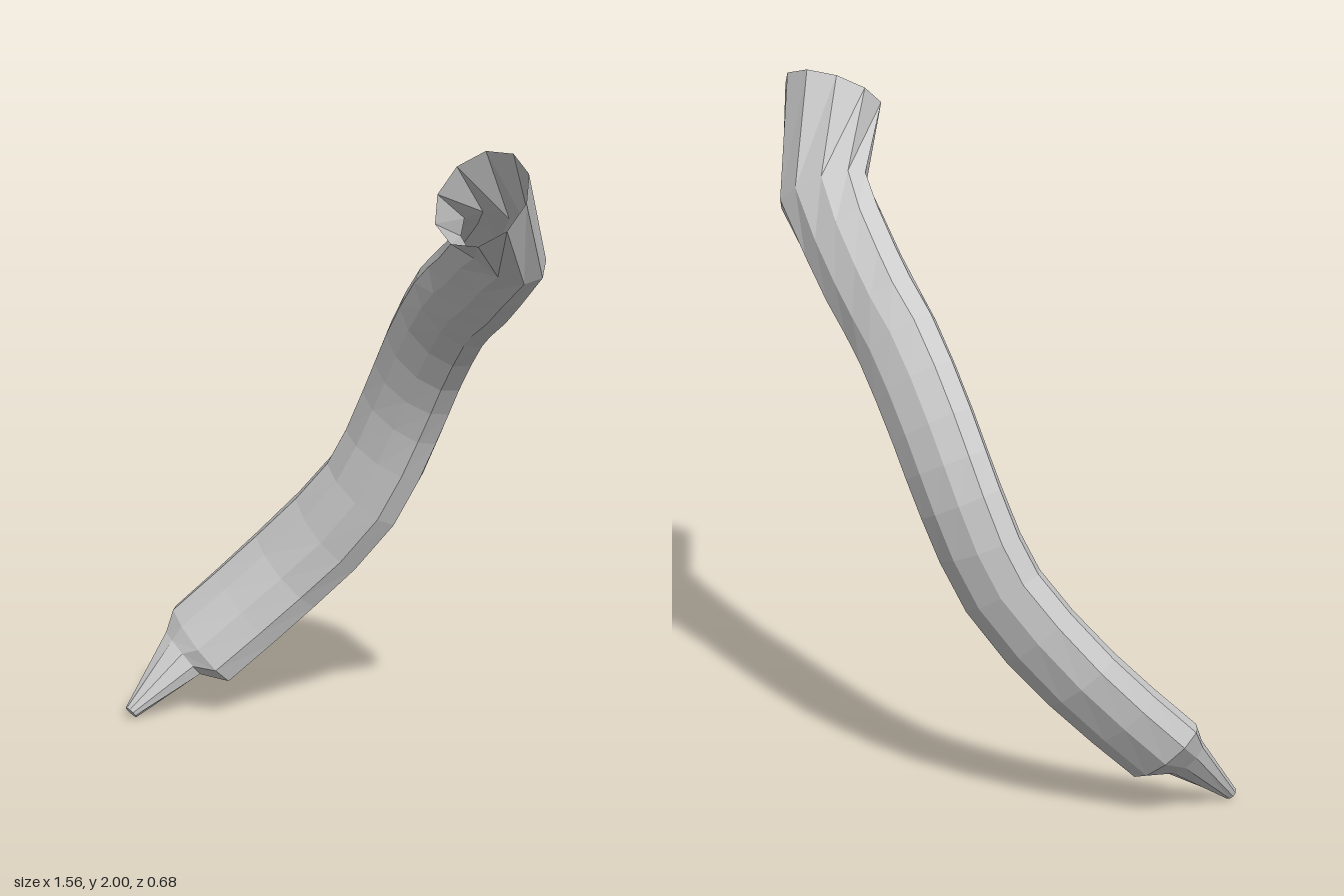
import * as THREE from 'three';

const SIDES = 10;
const V = (x, y, z) => new THREE.Vector3(x, y, z);

// Oval ring around centre c, facing along t: half width a, half depth b.
// lean turns the wide axis slightly about the tube.
function ring(c, t, a, b, lean) {
  const dir = t.clone().normalize();
  const wide = dir.clone().cross(V(lean, 0, 1)).normalize();
  const deep = dir.clone().cross(wide);
  return Array.from({ length: SIDES }, (_, i) => {
    const ang = (i / SIDES) * Math.PI * 2;
    return c.clone()
      .addScaledVector(wide, a * Math.cos(ang))
      .addScaledVector(deep, b * Math.sin(ang));
  });
}

// Skin a list of rings, optionally closing the first one
function skin(name, rings, material, closeStart = false) {
  const index = [];
  for (let r = 0; r < rings.length - 1; r++) {
    for (let i = 0; i < SIDES; i++) {
      const j = (i + 1) % SIDES;
      const p = r * SIDES + i, q = r * SIDES + j;
      index.push(p, q, q + SIDES, p, q + SIDES, p + SIDES);
    }
  }
  if (closeStart) for (let i = 1; i < SIDES - 1; i++) index.push(0, i + 1, i);
  const geometry = new THREE.BufferGeometry().setFromPoints(rings.flat());
  geometry.setIndex(index);
  geometry.computeVertexNormals();
  const mesh = new THREE.Mesh(geometry, material);
  mesh.name = name;
  return mesh;
}

export function createModel() {
  const material = new THREE.MeshStandardMaterial({
    color: 0xcccccc, flatShading: true, side: THREE.DoubleSide,
  });

  // Centre line of the curved body, from the lower end to the neck
  const path = new THREE.CatmullRomCurve3([
    V(-0.655, 0.195, 0.11), V(-0.495, 0.425, -0.072), V(-0.305, 0.685, -0.2),
    V(-0.19, 0.94, -0.25), V(-0.075, 1.145, -0.245), V(0.1, 1.35, -0.2),
    V(0.285, 1.485, -0.14), V(0.52, 1.67, -0.05),
  ]);
  const steps = 14;
  const bodyRings = [];
  for (let i = 0; i <= steps; i++) {
    const u = i / steps;
    // The neck ring is mitred between the body and the flared mouth
    const t = i === steps ? V(0.6, 0.68, 0.45) : path.getTangent(u);
    bodyRings.push(ring(path.getPoint(u), t, 0.146, 0.085, 0.42 * u));
  }

  // Flared open mouth
  const mouth = ring(V(0.642, 1.89, 0.13), V(0.2, 0.75, 0.64), 0.147, 0.167, 0.4);

  // Shoulder narrowing to a blunt point
  const shoulder = ring(V(-0.682, 0.17, 0.158), V(0.12, 0.2, -0.21), 0.088, 0.054, 0);
  const point = ring(V(-0.71, 0.018, 0.33), V(0.03, 0.145, -0.17), 0.021, 0.02, 0);

  const model = new THREE.Group();
  model.name = 'curvedHorn';
  model.add(
    skin('body', bodyRings, material),
    skin('flaredMouth', [bodyRings[steps], mouth], material),
    skin('pointedTip', [point, shoulder, bodyRings[0]], material, true),
  );
  return model;
}
